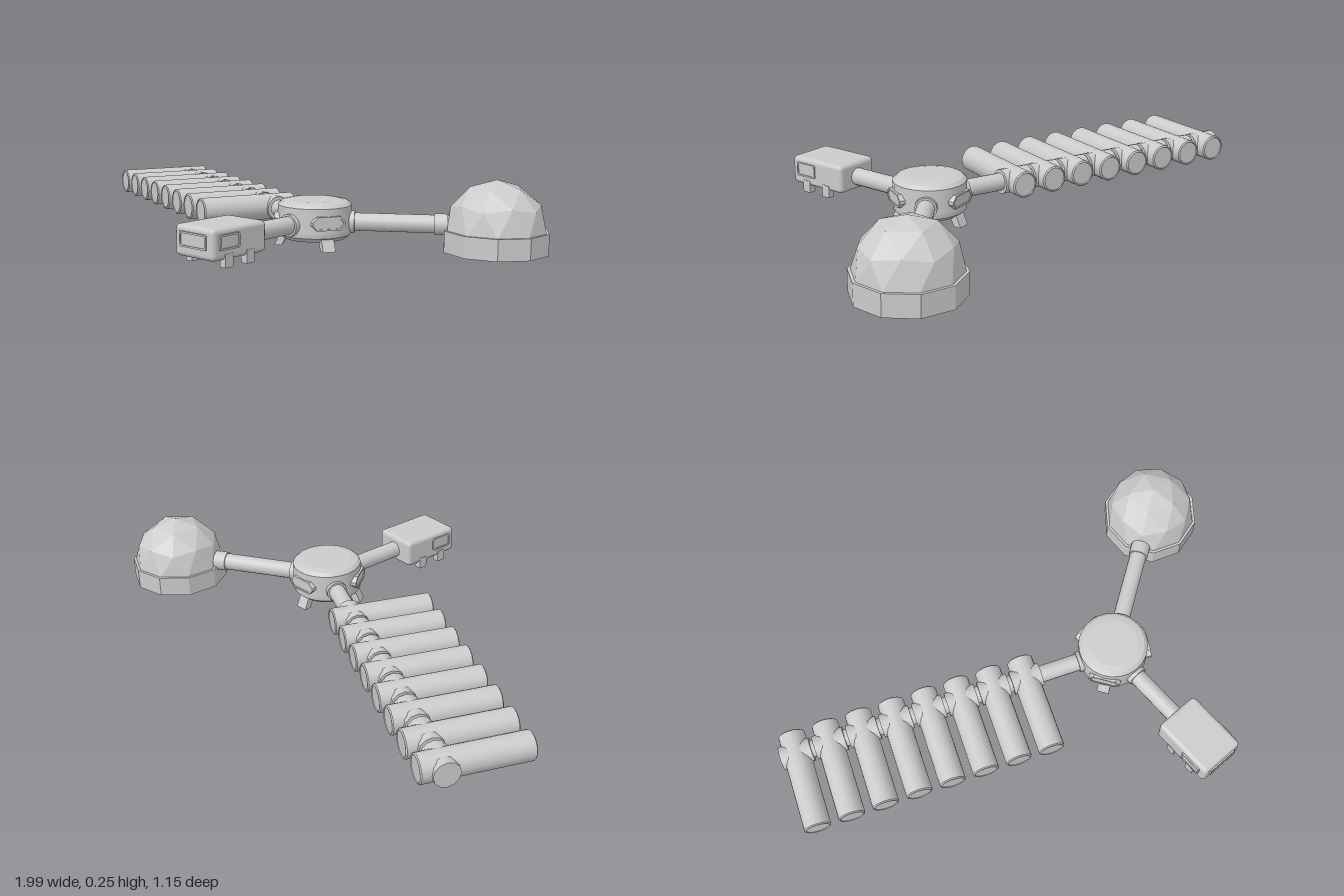
import * as THREE from 'three';
import { RoundedBoxGeometry } from 'three/addons/geometries/RoundedBoxGeometry.js';

const grey = new THREE.MeshStandardMaterial({ color: 0xcccccc });
const flat = new THREE.MeshStandardMaterial({ color: 0xcccccc, flatShading: true });
const shell = new THREE.MeshStandardMaterial({ color: 0xcccccc, flatShading: true, side: THREE.DoubleSide });

const AXIS_Y = 0.088; // height of every corridor's centre line
const HUB = [0.303, 0, -0.018];

function add(parent, name, geometry, material = grey, x = 0, y = 0, z = 0) {
  const mesh = new THREE.Mesh(geometry, material);
  mesh.name = name;
  mesh.position.set(x, y, z);
  parent.add(mesh);
  return mesh;
}

// Group at the hub centre whose local +x points outwards at the given angle (x towards z)
function spoke(parent, name, angle) {
  const g = new THREE.Group();
  g.name = name;
  g.position.set(...HUB);
  g.rotation.y = -angle;
  parent.add(g);
  return g;
}

// Tube along local x from x0 to x1
function tubeX(parent, name, r, x0, x1, sides = 16) {
  const geo = new THREE.CylinderGeometry(r, r, x1 - x0, sides).rotateZ(Math.PI / 2);
  return add(parent, name, geo, grey, (x0 + x1) / 2, AXIS_Y, 0);
}

// Outline of a w by h rectangle with corners cut off by c
function panelPoints(w, h, c) {
  const a = w / 2, b = h / 2;
  return [[a - c, -b], [a, c - b], [a, b - c], [a - c, b], [c - a, b], [-a, b - c], [-a, c - b], [c - a, -b]]
    .map(([x, y]) => new THREE.Vector2(x, y));
}

// Raised window frame with a pane set back inside it, facing +z
function windowPanel(parent, name, w, h, cut, depth) {
  const g = new THREE.Group();
  g.name = name;
  const shape = new THREE.Shape(panelPoints(w, h, cut));
  const rim = 0.006;
  shape.holes.push(new THREE.Path(panelPoints(w - 2 * rim, h - 2 * rim, cut * 0.85)));
  add(g, 'windowFrame', new THREE.ExtrudeGeometry(shape, { depth, bevelEnabled: false }), flat);
  const pane = new THREE.Shape(panelPoints(w - rim, h - rim, cut * 0.9));
  add(g, 'windowPane', new THREE.ExtrudeGeometry(pane, { depth: depth - 0.003, bevelEnabled: false }), flat);
  parent.add(g);
  return g;
}

// Smooth lathe bands with crisp edges between them
function crispLathe(parent, name, points, sides) {
  const g = new THREE.Group();
  g.name = name;
  for (let i = 0; i + 1 < points.length; i++) {
    const pair = [points[i], points[i + 1]].map(([r, y]) => new THREE.Vector2(r, y));
    add(g, name + 'Band', new THREE.LatheGeometry(pair, sides));
  }
  parent.add(g);
  return g;
}

function buildHub(root) {
  const body = crispLathe(root, 'hubBody', [
    [0, 0.03], [0.11, 0.03], [0.128, 0.045], [0.13, 0.06],
    [0.13, 0.148], [0.117, 0.16], [0.092, 0.165], [0, 0.165]], 24);
  body.position.set(...HUB);
  // Windows and slanted feet sit between the corridors
  for (const deg of [28, 146, 264]) {
    const g = spoke(root, 'hubSide', THREE.MathUtils.degToRad(deg));
    const win = windowPanel(g, 'hubWindow', 0.12, 0.048, 0.018, 0.033);
    win.position.set(0.103, 0.098, 0);
    win.rotation.y = Math.PI / 2;
    const foot = new THREE.BoxGeometry(0.028, 0.05, 0.046);
    const p = foot.attributes.position;
    for (let i = 0; i < p.count; i++) if (p.getY(i) < 0) p.setX(i, p.getX(i) + 0.022);
    add(g, 'hubFoot', foot, flat, 0.104, 0.025, 0);
  }
}

function buildFrontModule(root) {
  const arm = spoke(root, 'frontArm', Math.PI / 2);
  tubeX(arm, 'frontCorridor', 0.032, 0.1, 0.36);
  tubeX(arm, 'frontCollar', 0.039, 0.1, 0.142);
  const cx = 0.466;
  add(arm, 'cabin', new RoundedBoxGeometry(0.245, 0.104, 0.176, 3, 0.016), grey, cx, 0.092, 0);
  const end = windowPanel(arm, 'endWindow', 0.12, 0.05, 0.004, 0.01);
  end.position.set(cx + 0.118, 0.099, 0);
  end.rotation.y = Math.PI / 2;
  for (const s of [-1, 1]) {
    const side = windowPanel(arm, 'sideWindow', 0.088, 0.05, 0.004, 0.01);
    side.position.set(0.517, 0.099, s * 0.084);
    if (s < 0) side.rotation.y = Math.PI;
    for (const x of [0.421, 0.518]) {
      add(arm, 'cabinFoot', new THREE.BoxGeometry(0.034, 0.045, 0.026), flat, x, 0.0375, s * 0.077);
    }
  }
}

function buildDome(root) {
  const arm = spoke(root, 'domeArm', -0.588);
  tubeX(arm, 'domeCorridor', 0.032, 0.1, 0.475);
  tubeX(arm, 'domeCollar', 0.039, 0.1, 0.142);
  tubeX(arm, 'domeSleeve', 0.037, 0.415, 0.462);
  const cx = 0.624, h = 0.075;
  add(arm, 'domeBase', new THREE.CylinderGeometry(0.183, 0.183, h, 10, 1, true), shell, cx, h / 2, 0);
  const ledge = new THREE.RingGeometry(0.166, 0.183, 10, 1, Math.PI / 10).rotateX(-Math.PI / 2);
  add(arm, 'domeLedge', ledge, shell, cx, h, 0);
  // Upper half of a geodesic sphere with one corner turned straight up
  const ball = new THREE.IcosahedronGeometry(0.173, 1).rotateZ(Math.atan2(2, 1 + Math.sqrt(5)));
  const p = ball.attributes.position, kept = [];
  for (let i = 0; i < p.count; i += 3) {
    if (p.getY(i) + p.getY(i + 1) + p.getY(i + 2) > 0.01) {
      for (let k = i; k < i + 3; k++) kept.push(p.getX(k), p.getY(k), p.getZ(k));
    }
  }
  const dome = new THREE.BufferGeometry();
  dome.setAttribute('position', new THREE.Float32BufferAttribute(kept, 3));
  dome.computeVertexNormals();
  add(arm, 'geodesicDome', dome, shell, cx, h, 0);
}

function buildCapsuleRow(root) {
  const arm = spoke(root, 'capsuleArm', Math.PI + 0.384);
  const first = 0.345, step = 0.1265, count = 8;
  tubeX(arm, 'rowCorridor', 0.032, 0.1, first + step * (count - 1));
  tubeX(arm, 'rowCollar', 0.039, 0.1, 0.142);
  for (let i = 0; i < count; i++) {
    const x = first + step * i;
    // Capsule reaches towards local -z, with a short stub behind the corridor
    const capsule = crispLathe(arm, 'capsule', [
      [0, 0.003], [0.042, 0.003], [0.044, 0], [0.049, 0.004],
      [0.049, 0.371], [0.044, 0.375], [0.042, 0.372], [0, 0.372]], 16);
    capsule.rotation.x = -Math.PI / 2;
    capsule.position.set(x, AXIS_Y, 0.08);
    // Cross joint to the neighbouring capsules
    tubeX(arm, 'crossJoint', 0.045, x - 0.057, x + 0.057, 12);
  }
}

export function createModel() {
  const root = new THREE.Group();
  root.name = 'modularBase';
  buildHub(root);
  buildFrontModule(root);
  buildDome(root);
  buildCapsuleRow(root);
  return root;
}
